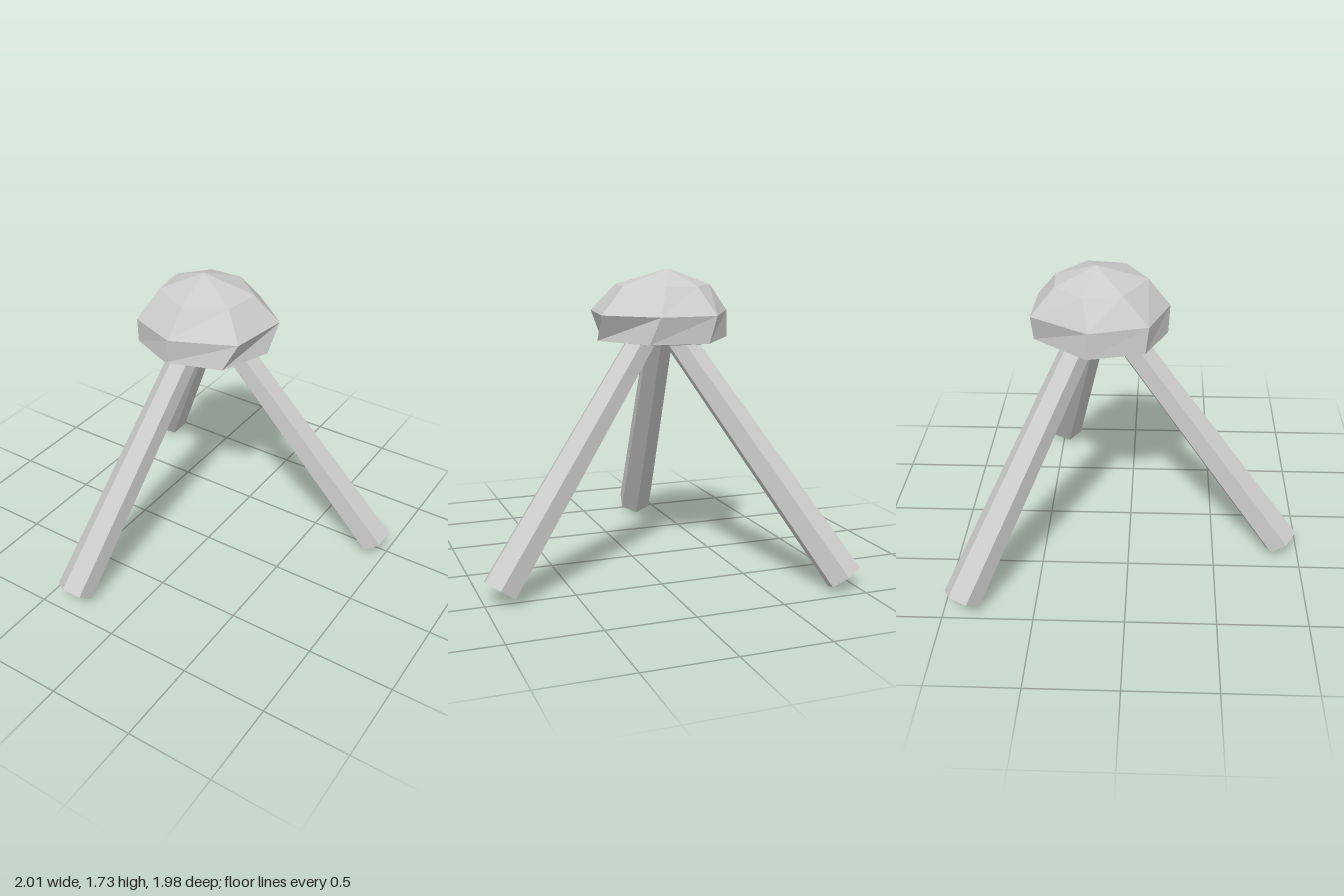
import * as THREE from 'three';

const grey = new THREE.MeshStandardMaterial({ color: 0xcccccc });
grey.name = 'plain grey';

// Faceted cap: three seven-sided rings (x, z) closed by a point above and below
function domeGeometry() {
  const ring = (y, pts) => pts.map(([x, z]) => [x, y, z]);
  const rings = [
    ring(1.63, [[0.14, -0.25], [0.11, -0.03], [-0.11, 0.1], [-0.35, -0.03], [-0.38, -0.24], [-0.24, -0.4], [-0.05, -0.41]]),
    ring(1.48, [[0.28, -0.3], [0.23, 0.06], [-0.12, 0.22], [-0.41, 0.11], [-0.5, -0.21], [-0.3, -0.53], [0.02, -0.52]]),
    ring(1.33, [[0.27, -0.19], [0.16, 0.11], [-0.15, 0.21], [-0.42, 0.09], [-0.5, -0.22], [-0.26, -0.52], [0.07, -0.48]]),
  ];
  const top = [-0.15, 1.72, -0.18];
  const bottom = [-0.1, 1.28, -0.16];
  const v = [];
  for (let i = 0; i < 7; i++) {
    const j = (i + 1) % 7;
    v.push(...top, ...rings[0][j], ...rings[0][i]);
    for (let r = 0; r < 2; r++) {
      const a = rings[r], b = rings[r + 1];
      v.push(...a[i], ...a[j], ...b[j], ...a[i], ...b[j], ...b[i]);
    }
    v.push(...rings[2][i], ...rings[2][j], ...bottom);
  }
  const g = new THREE.BufferGeometry();
  g.setAttribute('position', new THREE.Float32BufferAttribute(v, 3));
  g.computeVertexNormals();
  return g;
}

// Tapered hexagonal leg with one edge facing outward and up
function leg(name, foot, head) {
  const a = new THREE.Vector3(...foot), b = new THREE.Vector3(...head);
  const axis = b.clone().sub(a);
  let g = new THREE.CylinderGeometry(0.083, 0.107, axis.length(), 6);
  g = g.toNonIndexed();
  g.computeVertexNormals();
  const y = axis.normalize();
  const x = new THREE.Vector3(0, 1, 0).cross(y).normalize();
  const z = x.clone().cross(y);
  g.applyMatrix4(new THREE.Matrix4().makeBasis(x, y, z));
  const m = new THREE.Mesh(g, grey);
  m.position.copy(a).add(b).multiplyScalar(0.5);
  m.name = name;
  return m;
}

export function createModel() {
  const model = new THREE.Group();
  model.name = 'threeLeggedStand';
  const dome = new THREE.Mesh(domeGeometry(), grey);
  dome.name = 'dome';
  model.add(
    dome,
    leg('frontLeg', [-0.34, 0.065, 0.9], [-0.15, 1.36, -0.06]),
    leg('leftLeg', [0.915, 0.065, -0.485], [-0.01, 1.36, -0.2]),
    leg('backRightLeg', [-0.92, 0.055, -0.9], [-0.17, 1.36, -0.24]),
  );
  return model;
}
